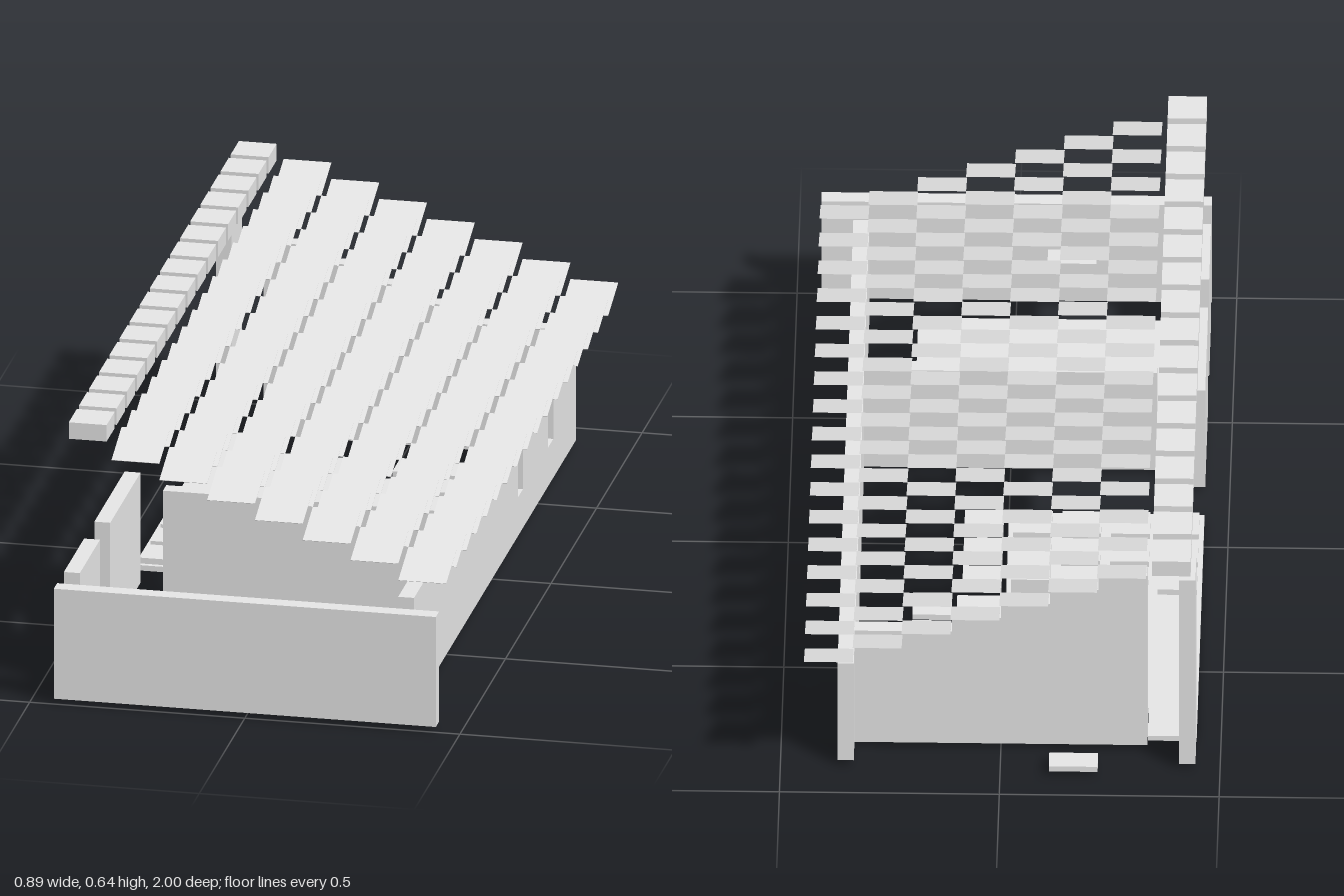
import * as THREE from 'three';

export function createModel() {
  const model = new THREE.Group();
  const stone = new THREE.MeshStandardMaterial({ color: 0xe5e5e5 });
  stone.name = 'paleGrey';
  const C = 1 / 9;            // grid cell
  const BASE = 0.013, TOP = 0.28;

  const add = (name, geo, parent = model) => {
    const mesh = new THREE.Mesh(geo, stone);
    mesh.name = name;
    parent.add(mesh);
    return mesh;
  };
  // Box given by its limits on each axis
  const box = (name, x0, x1, y0, y1, z0, z1, parent) => {
    const m = add(name, new THREE.BoxGeometry(x1 - x0, y1 - y0, z1 - z0), parent);
    m.position.set((x0 + x1) / 2, (y0 + y1) / 2, (z0 + z1) / 2);
    return m;
  };
  const group = (name) => {
    const g = new THREE.Group();
    g.name = name;
    model.add(g);
    return g;
  };
  const outline = (pts) => new THREE.Shape(pts.map(([x, y]) => new THREE.Vector2(x, y)));
  const extrude = (shape, depth) => new THREE.ExtrudeGeometry(shape, { depth, bevelEnabled: false });

  // Front, inner and left-hand walls
  box('frontWall', -0.444, 0.444, BASE, TOP, 0.963, 1);
  box('innerWall', -0.333, 0.333, BASE, TOP, 0.289, 0.326);
  box('sideWallFront', -0.444, -0.407, BASE, TOP, 0.667, 0.889);
  box('sideWallMiddle', -0.444, -0.407, BASE, TOP, 0.222, 0.555);
  box('tallCornerWall', -0.444, -0.407, BASE, 0.52, -0.889, -0.778);

  // Long wall with two window openings, drawn in z and y
  const longShape = outline([[-0.889, BASE], [0.889, BASE], [0.889, TOP], [-0.889, TOP]]);
  for (const z of [-2.5 * C, -5.5 * C]) {
    longShape.holes.push(outline([
      [z - 0.028, 0.107], [z - 0.028, 0.218], [z + 0.028, 0.218], [z + 0.028, 0.107]]));
  }
  const longWall = add('windowWall', extrude(longShape, 0.037).rotateY(-Math.PI / 2));
  longWall.position.x = 0.37;

  // Back wall, its top stepping down under the roof
  const backPts = [[-3 * C, BASE], [3 * C, BASE], [3 * C, 0.32], [C, 0.32]];
  for (let i = 0; i < 4; i++) {
    const y = 0.36 + i * 0.04;
    backPts.push([(1 - i) * C, y], [-i * C, y]);
  }
  add('backWall', extrude(outline(backPts), 0.037)).position.z = -0.815;

  // Floors
  box('frontFloor', -3 * C, 2 * C, 0, BASE, 3 * C, 8 * C);
  const floorShape = outline([
    [-4, -1], [0, -1], [0, 2], [1, 2], [1, 5], [-1, 5], [-1, 6], [-3, 6], [-3, 7], [-4, 7],
  ].map(([x, z]) => [x * C, z * C]));
  add('backFloor', extrude(floorShape, BASE).rotateX(-Math.PI / 2));

  // Loose paving: rows on the floor and pieces along its stepped edge
  const paving = group('pavingTiles');
  const paver = (i, k, top = 0.027) => box('pavingTile',
    (i + 0.1) * C, (i + 0.9) * C, BASE, top, (k + 0.1) * C, (k + 0.9) * C, paving);
  for (let k = -2; k < 1; k++) {
    for (let i = -4; i < 1; i++) paver(i, k, i === -1 && k === -2 ? 0.05 : 0.027);
  }
  for (const [i, k] of [[1, -3], [1, -4], [1, -5], [0, -6], [1, -6]]) paver(i, k);

  // Thin slabs
  const slab = (name, x, y, z) =>
    box(name, x - C / 2, x + C / 2, y, y + 0.014, z - C / 4, z + C / 4);
  slab('backStep', -1.5 * C, BASE, -0.897);
  slab('innerStep', -0.24, BASE, 0.425);
  slab('frontShelf', -0.127, 0.14, 0.935);

  // Roof: tilted thin tiles, each column one step lower
  const roof = group('roofTiles');
  const rise = 0.04, rows = 17;
  const tile = new THREE.BoxGeometry(C, 0.001, Math.hypot(C, rise)).rotateX(Math.atan2(rise, C));
  for (let c = 0; c < 7; c++) {
    for (let r = 0; r < rows; r++) {
      add('roofTile', tile, roof).position.set((c - 2.5) * C, 0.58 - c * rise, -1 + (r + 0.5) * C);
    }
  }

  // Ridge: a row of separate blocks
  const ridge = group('ridgeBlocks');
  for (let r = 0; r < rows; r++) {
    const z = -1 + (r + 0.5) * C;
    box('ridgeBlock', -0.435, -0.347, 0.6, 0.64, z - 0.0445, z + 0.0445, ridge);
  }
  return model;
}
